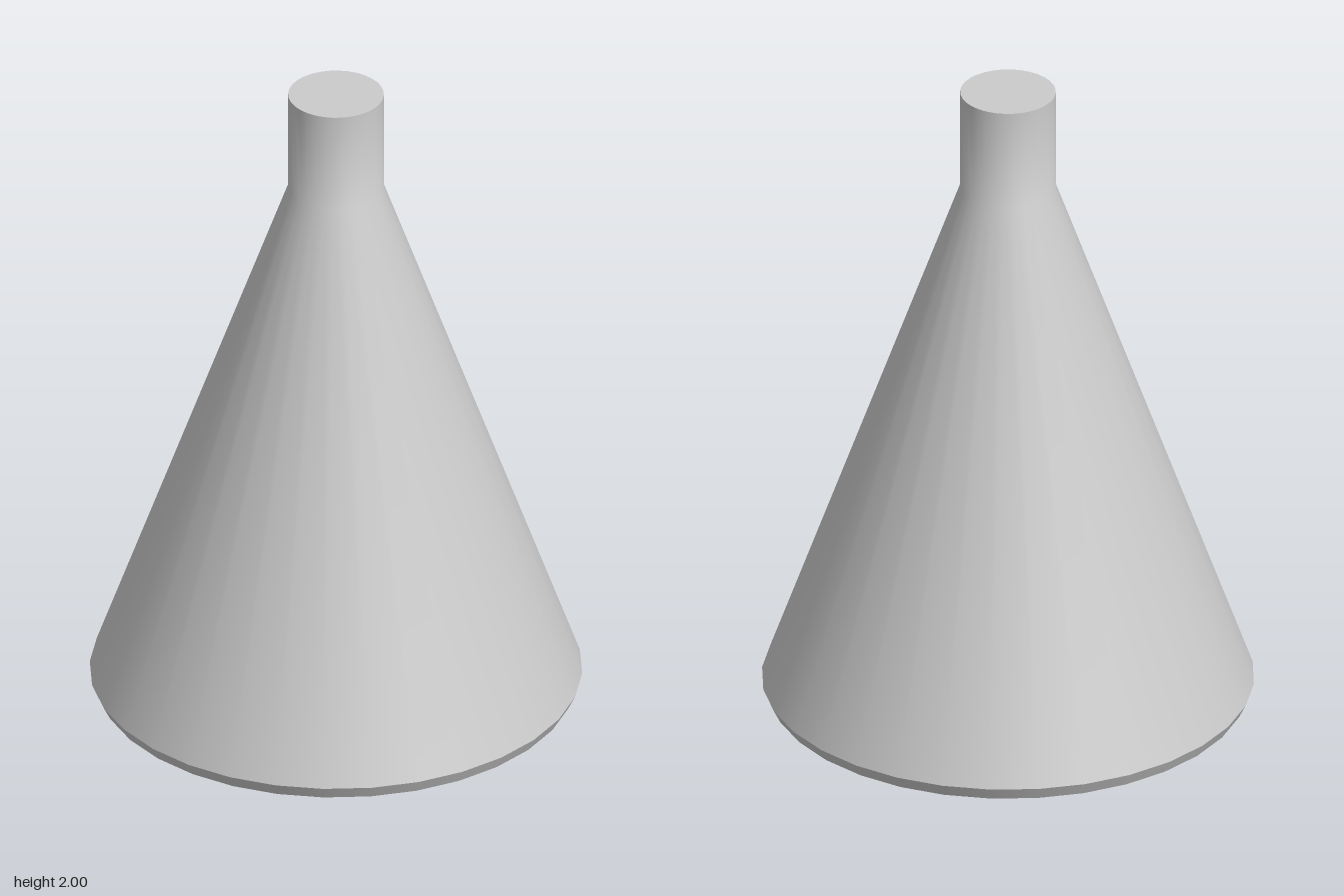
import * as THREE from 'three';

const SIDES = 32;

export function createModel() {
  const group = new THREE.Group();
  const material = new THREE.MeshStandardMaterial({ color: 0xcccccc });

  // Each part is revolved on its own: smooth inside, sharp where parts meet.
  const revolve = (name, profile) => {
    const points = profile.map(([r, y]) => new THREE.Vector2(r, y));
    const mesh = new THREE.Mesh(new THREE.LatheGeometry(points, SIDES), material);
    mesh.name = name;
    group.add(mesh);
  };

  // Flat underside with a shallow bevel
  revolve('base', [[0, 0], [0.63, 0], [0.7, 0.035]]);
  // Narrow band around the bottom edge
  revolve('baseRim', [[0.7, 0.035], [0.72, 0.075]]);
  // Conical body running smoothly into the straight neck
  revolve('bodyAndNeck', [[0.72, 0.075], [0.14, 1.69], [0.14, 2]]);
  // Closed top of the neck
  revolve('neckCap', [[0.14, 2], [0, 2]]);

  return group;
}
